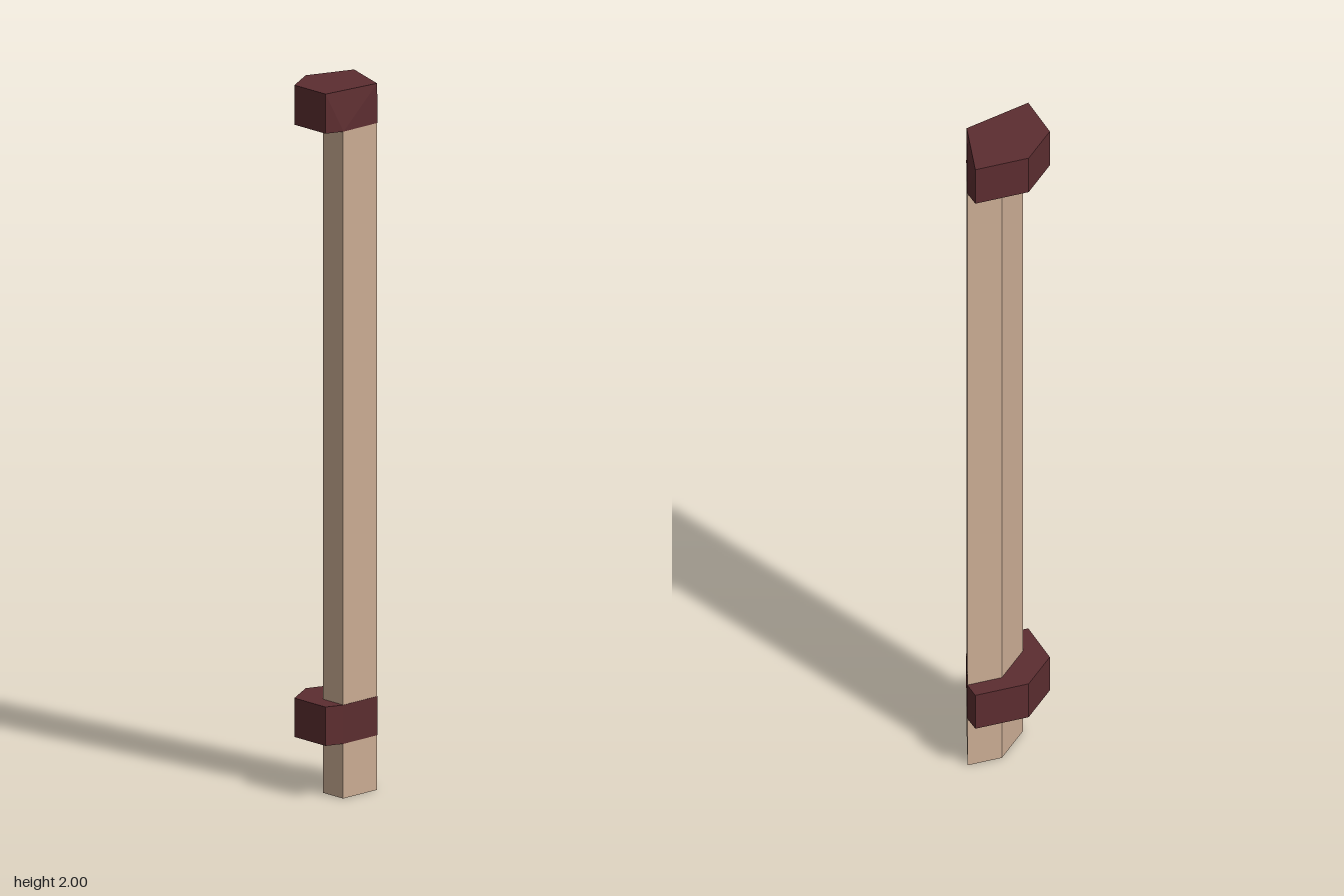
import * as THREE from 'three';
import { ConvexGeometry } from 'three/addons/geometries/ConvexGeometry.js';

// Cross-sections as [x, z] corners
const SHAFT = [[-0.075, 0.133], [0.075, 0.075], [0.133, -0.075], [0.03, -0.075], [-0.075, 0.03]];
const BAND = [[-0.133, 0.133], [-0.074, 0.134], [0.076, 0.076], [0.134, -0.074],
  [0.133, -0.133], [-0.027, -0.133], [-0.133, -0.027]];
const CAP_TOP = [[-0.133, 0.133], [0.075, 0.075], [0.133, -0.133], [-0.027, -0.133], [-0.133, -0.027]];

// Upright prism over a cross-section
function prism(corners, y0, y1) {
  const shape = new THREE.Shape(corners.map(([x, z]) => new THREE.Vector2(x, -z)));
  const geometry = new THREE.ExtrudeGeometry(shape, { depth: y1 - y0, bevelEnabled: false });
  return geometry.rotateX(-Math.PI / 2).translate(0, y0, 0);
}

export function createModel() {
  const model = new THREE.Group();
  model.name = 'post';

  const wood = new THREE.MeshStandardMaterial({ color: 0xcbad94, flatShading: true });
  wood.name = 'paleWood';
  const maroon = new THREE.MeshStandardMaterial({ color: 0x5c2d30, flatShading: true });
  maroon.name = 'darkMaroon';

  const add = (name, geometry, material) => {
    const mesh = new THREE.Mesh(geometry, material);
    mesh.name = name;
    model.add(mesh);
  };

  // Five-sided shaft
  add('shaft', prism(SHAFT, 0, 1.89), wood);

  // Band around the foot, flush with the shaft at the front
  add('lowerBand', prism(BAND, 0.155, 0.265), maroon);

  // Cap whose front sides lean in slightly towards the top
  const level = (corners, y) => corners.map(([x, z]) => new THREE.Vector3(x, y, z));
  add('cap', new ConvexGeometry([...level(BAND, 1.888), ...level(CAP_TOP, 2)]), maroon);

  return model;
}
